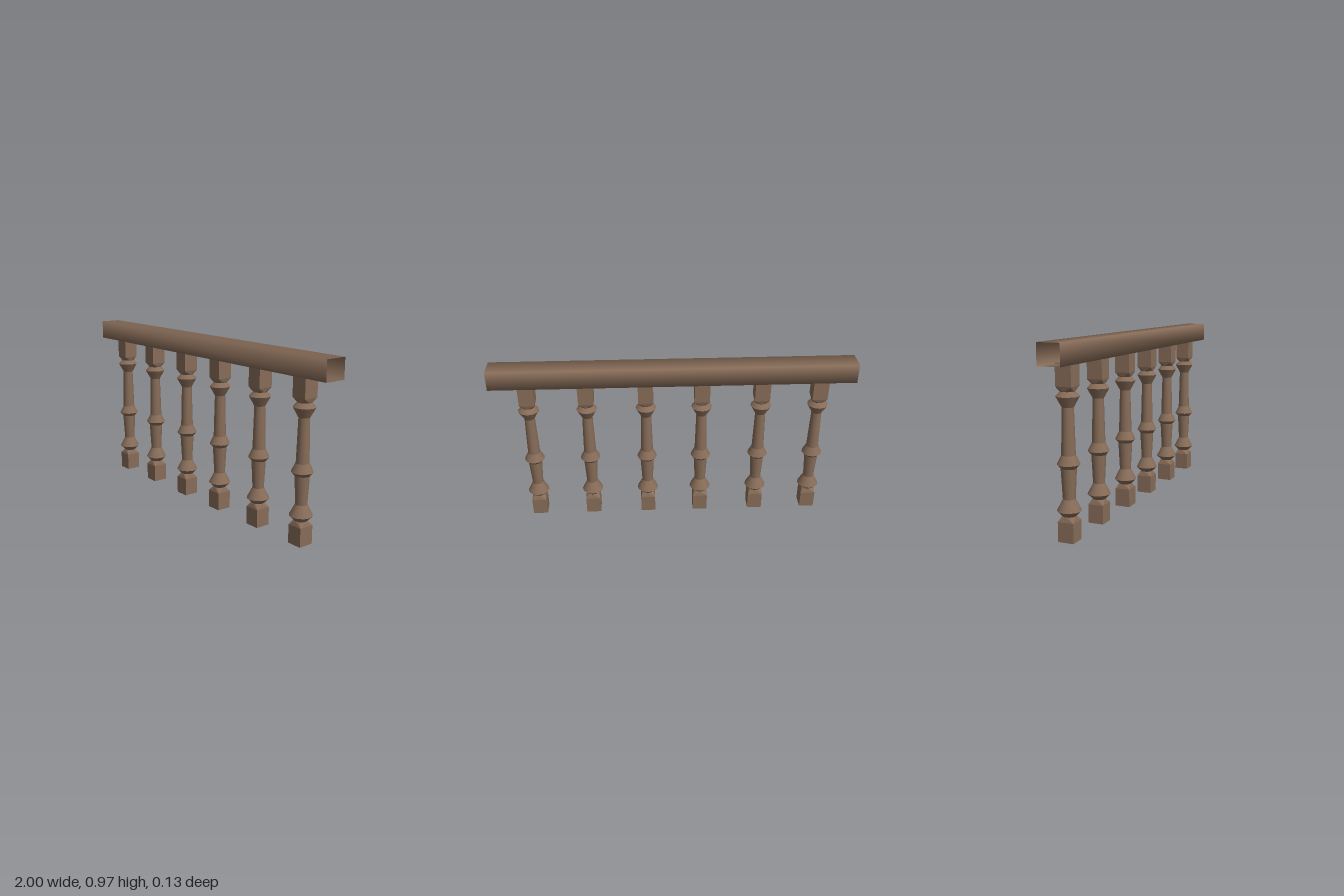
import * as THREE from 'three';
import { ConvexGeometry } from 'three/addons/geometries/ConvexGeometry.js';

const SIDES = 12;
const HALF = 0.042; // half width of the square blocks

// Turned profile of a baluster: [radius, height]
const PROFILE = [
  [0.034, 0.125], [0.061, 0.152], [0.031, 0.21], [0.039, 0.36],
  [0.057, 0.38], [0.035, 0.425], [0.029, 0.655], [0.058, 0.707], [0.036, 0.73],
];

export function createModel() {
  const wood = new THREE.MeshStandardMaterial({ color: 0x876c58, side: THREE.DoubleSide });
  wood.name = 'brownWood';
  const model = new THREE.Group();
  model.name = 'balustrade';

  const add = (parent, name, geometry) => {
    const mesh = new THREE.Mesh(geometry, wood);
    mesh.name = name;
    parent.add(mesh);
    return mesh;
  };

  // Hollow square block, open at both ends
  const block = (y0, y1) => {
    const r = HALF * Math.SQRT2;
    const g = new THREE.CylinderGeometry(r, r, y1 - y0, 4, 1, true);
    g.rotateY(Math.PI / 4).translate(0, (y0 + y1) / 2, 0);
    const flat = g.toNonIndexed();
    flat.computeVertexNormals();
    return flat;
  };

  // Chamfered neck from the square block to the round turning
  const neck = (squareY, roundY, radius) => {
    const points = [];
    for (const x of [-HALF, HALF]) for (const z of [-HALF, HALF]) points.push(new THREE.Vector3(x, squareY, z));
    for (let i = 0; i < SIDES; i++) {
      const a = (i / SIDES) * Math.PI * 2;
      points.push(new THREE.Vector3(Math.sin(a) * radius, roundY, Math.cos(a) * radius));
    }
    return new ConvexGeometry(points);
  };

  // Shared baluster geometries
  const parts = [
    ['baseBlock', block(0, 0.1)],
    ['baseNeck', neck(0.1, 0.125, 0.034)],
    ['topNeck', neck(0.755, 0.73, 0.036)],
    ['topBlock', block(0.755, 0.866)],
  ];
  // One smooth ring per profile step keeps the turned edges crisp
  for (let i = 0; i < PROFILE.length - 1; i++) {
    const [r0, y0] = PROFILE[i], [r1, y1] = PROFILE[i + 1];
    const ring = new THREE.CylinderGeometry(r1, r0, y1 - y0, SIDES, 1, true);
    ring.translate(0, (y0 + y1) / 2, 0);
    parts.push(['turnedShaft', ring]);
  }

  // Row of balusters
  for (const x of [-0.81, -0.49, -0.158, 0.153, 0.481, 0.802]) {
    const baluster = new THREE.Group();
    baluster.name = 'baluster';
    baluster.position.set(x, 0, -0.004);
    for (const [name, geometry] of parts) add(baluster, name, geometry);
    model.add(baluster);
  }

  // Hollow handrail with softly shaded corners and open ends
  const rail = new THREE.CylinderGeometry(Math.SQRT1_2, Math.SQRT1_2, 2, 4, 1, true);
  rail.rotateY(Math.PI / 4).rotateZ(Math.PI / 2);
  rail.scale(1, 0.107, 0.12);
  add(model, 'handrail', rail).position.set(0, 0.9165, 0.007);

  return model;
}
